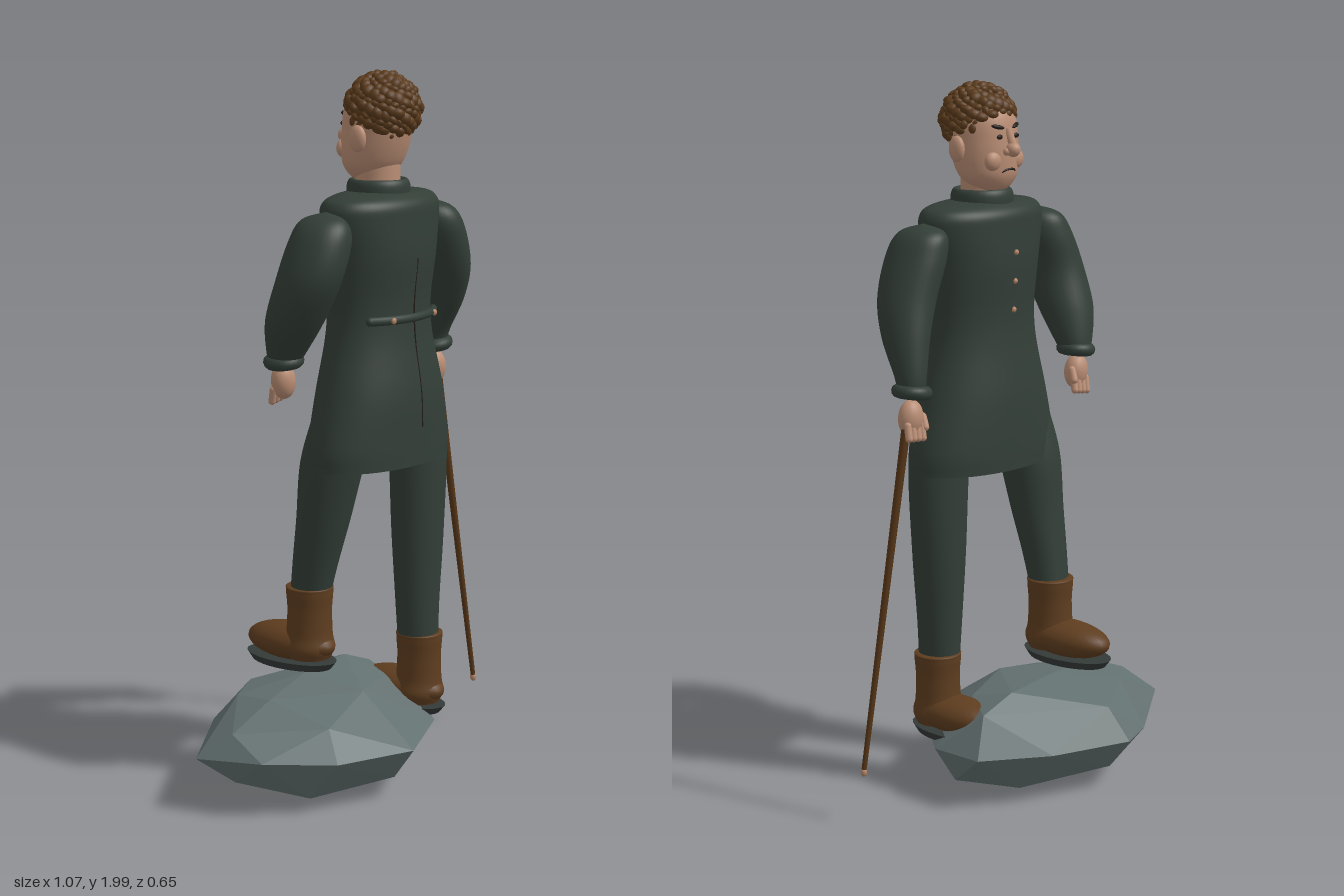
import * as THREE from 'three';
import { mergeVertices } from 'three/addons/utils/BufferGeometryUtils.js';
import { ConvexGeometry } from 'three/addons/geometries/ConvexGeometry.js';

const mat = (name, color, extra = {}) => {
  const m = new THREE.MeshStandardMaterial({ color, ...extra });
  m.name = name;
  return m;
};
const V = (x, y, z) => new THREE.Vector3(x, y, z);

// Smooth skin over horizontal oval sections [x, y, z, rx, rz], listed bottom to top
function loft(sections, steps = 6, sides = 32) {
  const path = new THREE.CatmullRomCurve3(sections.map(s => V(s[0], s[1], s[2])), false, 'catmullrom', 0.5);
  const size = new THREE.CatmullRomCurve3(sections.map(s => V(s[3], s[4], 0)), false, 'catmullrom', 0.5);
  const n = (sections.length - 1) * steps, pos = [], idx = [];
  for (let i = 0; i <= n; i++) {
    const p = path.getPoint(i / n), r = size.getPoint(i / n);
    for (let j = 0; j < sides; j++) {
      const a = (j / sides) * Math.PI * 2;
      pos.push(p.x + r.x * Math.cos(a), p.y, p.z + r.y * Math.sin(a));
      if (i < n) {
        const k = (j + 1) % sides, A = i * sides + j, B = i * sides + k;
        idx.push(A, A + sides, B, B, A + sides, B + sides);
      }
    }
  }
  const g = new THREE.BufferGeometry();
  g.setAttribute('position', new THREE.Float32BufferAttribute(pos, 3));
  g.setIndex(idx);
  g.computeVertexNormals();
  return g;
}

const ball = (rx, ry, rz, w = 20, h = 14) => new THREE.SphereGeometry(1, w, h).scale(rx, ry, rz);
const tube = (pts, r, n = 24) => new THREE.TubeGeometry(new THREE.CatmullRomCurve3(pts), n, r, 8);

export function createModel() {
  const root = new THREE.Group();
  root.name = 'walkerOnRock';
  const cloth = mat('dark green cloth', 0x333e37, { side: THREE.DoubleSide });
  const leather = mat('brown leather', 0x5e3d1f);
  const hairMat = mat('brown hair', 0x5a3a1b);
  const skin = mat('skin', 0xb98d74);
  const soleMat = mat('dark sole', 0x343a38);
  const stone = mat('grey stone', 0x637070, { flatShading: true });
  const wood = mat('cane wood', 0x553517);
  const copper = mat('copper', 0xb58565);
  const dark = mat('dark line', 0x241c18);

  const add = (name, geo, material, x = 0, y = 0, z = 0, parent = root) => {
    const m = new THREE.Mesh(geo, material);
    m.name = name;
    m.position.set(x, y, z);
    parent.add(m);
    return m;
  };
  const group = name => {
    const g = new THREE.Group();
    g.name = name;
    root.add(g);
    return g;
  };

  // Faceted rock: rim, upper and lower corners
  const rock = [
    [-.54, .16, -.11], [-.25, .16, -.29], [-.13, .16, -.33], [.1, .16, -.24], [.27, .16, -.11],
    [.27, .16, .05], [.12, .16, .22], [-.13, .16, .325], [-.35, .16, .23], [-.49, .17, .08],
    [-.48, .23, -.03], [-.33, .29, -.02], [-.3, .27, -.16], [-.12, .25, -.26], [-.12, .31, -.06],
    [.09, .307, -.08], [.2, .265, -.07], [.1, .27, .06], [-.1, .285, .13], [-.31, .24, .17],
    [-.47, .09, -.03], [-.33, .035, -.12], [-.13, .07, -.26], [.09, .03, -.11], [.24, .07, 0],
    [.08, .03, .1], [-.13, .01, 0], [-.13, .07, .26], [-.33, .035, .12]
  ];
  add('rock', new ConvexGeometry(rock.map(p => V(...p))), stone);

  // Boots
  const boot = (name, x, y, z) => {
    const b = group(name);
    b.position.set(x, y, z);
    add('sole', new THREE.CylinderGeometry(1, .88, .022, 32).scale(.079, 1, .148), soleMat, 0, .011, 0, b);
    add('foot', ball(.075, .052, .145, 28, 18), leather, 0, .065, 0, b);
    add('shaft', loft([
      [0, .03, .065, .06, .06], [0, .06, .062, .072, .074], [0, .1, .064, .064, .066],
      [0, .17, .065, .062, .063], [0, .222, .065, .066, .066], [0, .236, .065, .06, .06], [0, .237, .065, .001, .001]
    ]), leather, 0, 0, 0, b);
  };
  boot('leftBoot', .16, .165, .072);
  boot('rightBoot', -.156, .345, -.08);

  // Trousers
  add('leftTrouserLeg', loft([
    [.153, .38, .137, .058, .058], [.156, .5, .132, .066, .062], [.162, .7, .127, .08, .072],
    [.162, .95, .125, .093, .078], [.14, 1.08, .115, .09, .08]]), cloth);
  add('rightTrouserLeg', loft([
    [-.155, .56, -.012, .058, .056], [-.156, .66, .008, .066, .064], [-.153, .78, .032, .078, .074],
    [-.146, .94, .058, .09, .088], [-.13, 1.08, .09, .09, .085]]), cloth);

  // Coat, open at the hem, and collar
  add('coat', loft([
    [0, .935, .108, .26, .147], [0, 1, .108, .257, .147], [0, 1.13, .11, .225, .143], [0, 1.28, .108, .186, .122],
    [0, 1.38, .108, .18, .118], [0, 1.5, .11, .195, .128], [0, 1.6, .11, .215, .125], [0, 1.645, .11, .213, .12],
    [0, 1.668, .11, .18, .095], [0, 1.678, .108, .08, .06], [0, 1.68, .108, .001, .001]], 6, 48), cloth);
  add('collar', loft([
    [0, 1.65, .105, .08, .08], [0, 1.668, .105, .088, .086], [0, 1.695, .105, .087, .085],
    [0, 1.709, .105, .077, .075], [0, 1.7, .105, .06, .06]]), cloth);

  // Back seam, half belt and buttons
  add('backSeam', tube([V(0, 1.5, .237), V(0, 1.38, .2255), V(0, 1.28, .2295), V(0, 1.13, .252), V(0, 1.04, .2555)], .0025), dark);
  const beltAt = a => V(.187 * Math.sin(a), 1.34, .108 + .124 * Math.cos(a));
  const belt = [];
  for (let i = 0; i <= 10; i++) belt.push(beltAt(-.9 + i * .18));
  add('halfBelt', tube(belt, .012), cloth);
  for (const s of [-1, 1]) {
    const p = beltAt(s * .53);
    add('beltButton', ball(.009, .009, .006, 10, 8), copper, p.x, p.y, p.z + .012);
    add('beltEnd', ball(.012, .012, .012, 12, 8), cloth, beltAt(s * .9).x, 1.34, beltAt(s * .9).z);
  }
  [[1.54, -.019], [1.46, -.015], [1.38, -.01]].forEach(([y, z]) =>
    add('frontButton', ball(.008, .008, .006, 10, 8), copper, 0, y, z - .001));

  // Sleeves with rolled cuffs
  const sleeve = (name, sections, cuff, tilt) => {
    add(name, loft(sections), cloth);
    const c = add(name + 'Cuff', new THREE.TorusGeometry(.037, .019, 12, 28).rotateX(Math.PI / 2), cloth, ...cuff);
    c.rotation.z = tilt;
  };
  sleeve('leftSleeve', [
    [.367, 1.19, .035, .036, .036], [.365, 1.24, .04, .042, .045], [.345, 1.34, .075, .06, .07],
    [.312, 1.44, .1, .075, .085], [.268, 1.55, .105, .075, .09], [.25, 1.61, .1, .055, .07], [.245, 1.634, .1, .001, .001]],
    [.365, 1.2, .036], .15);
  sleeve('rightSleeve', [
    [-.265, 1.22, -.015, .037, .038], [-.272, 1.26, 0, .055, .055], [-.286, 1.35, .04, .08, .08],
    [-.284, 1.46, .085, .082, .092], [-.255, 1.56, .1, .078, .088], [-.24, 1.615, .1, .052, .065], [-.23, 1.638, .1, .001, .001]],
    [-.27, 1.232, -.012], .12);

  // Hands
  const hand = (name, x, y, z, tilt) => {
    const h = group(name);
    h.position.set(x, y, z);
    h.rotation.z = tilt;
    add('palm', ball(.037, .05, .032), skin, 0, 0, 0, h);
    for (let i = 0; i < 4; i++) {
      const f = add('finger', new THREE.CapsuleGeometry(.0105, .035, 4, 10), skin, -.027 + i * .018, -.035, -.02, h);
      f.rotation.x = .25;
    }
    const t = add('thumb', new THREE.CapsuleGeometry(.011, .03, 4, 10), skin, x > 0 ? -.034 : .034, -.01, -.018, h);
    t.rotation.x = .4;
  };
  hand('leftHand', .372, 1.13, .035, .1);
  hand('rightHand', -.252, 1.172, -.028, .15);

  // Walking cane
  const top = V(.39, 1.12, .033), end = V(.525, .16, .08);
  const cane = add('cane', new THREE.CylinderGeometry(.0125, .007, top.distanceTo(end), 14), wood,
    ...top.clone().add(end).multiplyScalar(.5).toArray());
  cane.quaternion.setFromUnitVectors(V(0, 1, 0), top.clone().sub(end).normalize());
  add('caneTip', ball(.009, .013, .009, 12, 10), copper, end.x, end.y - .003, end.z);

  // Head, facing -z
  add('neck', loft([[0, 1.66, .105, .064, .062], [0, 1.7, .102, .063, .061], [0, 1.75, .1, .066, .062]]), skin);
  add('head', loft([
    [0, 1.698, .075, .001, .001], [0, 1.706, .075, .042, .042], [0, 1.74, .082, .08, .074], [0, 1.78, .09, .093, .088],
    [0, 1.84, .1, .097, .096], [0, 1.91, .112, .095, .095], [0, 1.965, .115, .055, .055], [0, 1.98, .115, .001, .001]]), skin);
  add('noseBridge', tube([V(0, 1.875, .012), V(0, 1.85, .001), V(0, 1.825, -.012)], .011, 10), skin);
  add('noseTip', ball(.02, .02, .021), skin, 0, 1.82, -.008);
  add('mouth', tube([V(-.037, 1.751, .018), V(-.018, 1.764, .005), V(0, 1.767, .001), V(.018, 1.764, .005), V(.037, 1.751, .018)], .003), dark);
  for (const s of [-1, 1]) {
    add('ear', ball(.016, .036, .026), skin, s * .1, 1.822, .108);
    add('nostril', ball(.011, .011, .012, 12, 8), skin, s * .016, 1.815, .002);
    add('cheek', ball(.03, .028, .02), skin, s * .045, 1.79, .025);
    add('eye', ball(.011, .007, .005, 12, 8), dark, s * .034, 1.855, .011);
    const brow = add('eyebrow', ball(.021, .006, .007, 12, 8), dark, s * .036, 1.882, .016);
    brow.rotation.set(0, -s * .35, s * .2);
  }

  // Curly hair: scalp cap and evenly spread curls
  const hair = group('hair');
  add('scalp', new THREE.SphereGeometry(1, 28, 14, 0, Math.PI * 2, 0, Math.PI / 2).rotateX(.4).scale(.099, .089, .099),
    hairMat, 0, 1.895, .118, hair);
  const base = new THREE.IcosahedronGeometry(1, 2);
  base.deleteAttribute('uv');
  base.deleteAttribute('normal');
  const curlGeo = mergeVertices(base);
  curlGeo.computeVertexNormals();
  const N = 250;
  for (let i = 0; i < N; i++) {
    const u = 1 - 2 * (i + .5) / N, r = Math.sqrt(1 - u * u), a = i * 2.39996;
    const x = .093 * r * Math.cos(a), y = 1.896 + .087 * u, z = .118 + .092 * r * Math.sin(a);
    if (y < 1.832 + Math.max(0, .13 - z) * .75) continue;
    const c = add('curl', curlGeo, hairMat, x, y, z, hair);
    const k = .016 + .003 * Math.sin(i * 7.3);
    c.scale.set(k, k * .8, k * 1.15);
    c.rotation.set(i * 1.7, i * 2.3, i);
  }
  return root;
}
